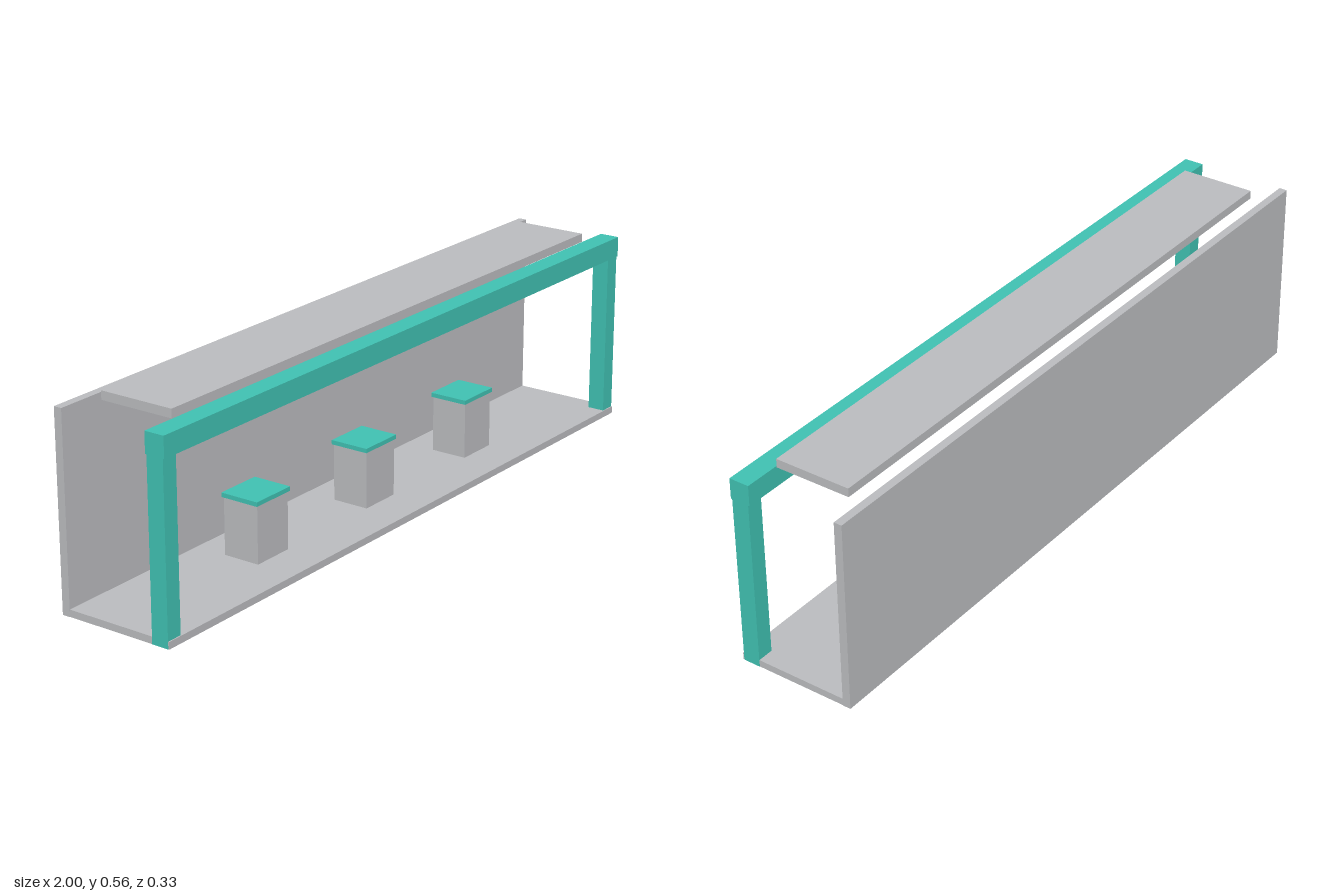
import * as THREE from 'three';

export function createModel() {
  const group = new THREE.Group();
  const grey = new THREE.MeshStandardMaterial({ color: 0xbbbcbf });
  grey.name = 'light grey';
  const teal = new THREE.MeshStandardMaterial({ color: 0x40c1b2 });
  teal.name = 'teal';

  // Box given by its minimum and maximum on each axis
  function box(name, material, [x0, x1], [y0, y1], [z0, z1]) {
    const mesh = new THREE.Mesh(new THREE.BoxGeometry(x1 - x0, y1 - y0, z1 - z0), material);
    mesh.position.set((x0 + x1) / 2, (y0 + y1) / 2, (z0 + z1) / 2);
    mesh.name = name;
    group.add(mesh);
  }

  // Floor, back wall and floating roof slab
  box('floor', grey, [-0.9995, 0.9995], [0.0005, 0.02], [-0.167, 0.167]);
  box('backWall', grey, [-1, 1], [0, 0.534], [-0.167, -0.144]);
  box('roofSlab', grey, [-0.9, 0.9], [0.533, 0.557], [-0.108, 0.108]);

  // Front frame: two posts reaching through the floor, and a thicker beam
  box('leftPost', teal, [0.954, 1], [0, 0.48], [0.115, 0.164]);
  box('rightPost', teal, [-1, -0.954], [0, 0.48], [0.115, 0.164]);
  box('frontBeam', teal, [-1, 1], [0.477, 0.534], [0.111, 0.168]);

  // Row of three plinths with overhanging caps
  for (const x of [-0.46, 0, 0.46]) {
    box('plinth', grey, [x - 0.0615, x + 0.0615], [0.02, 0.178], [-0.053, 0.053]);
    box('plinthCap', teal, [x - 0.067, x + 0.067], [0.178, 0.19], [-0.0565, 0.0565]);
  }

  return group;
}
